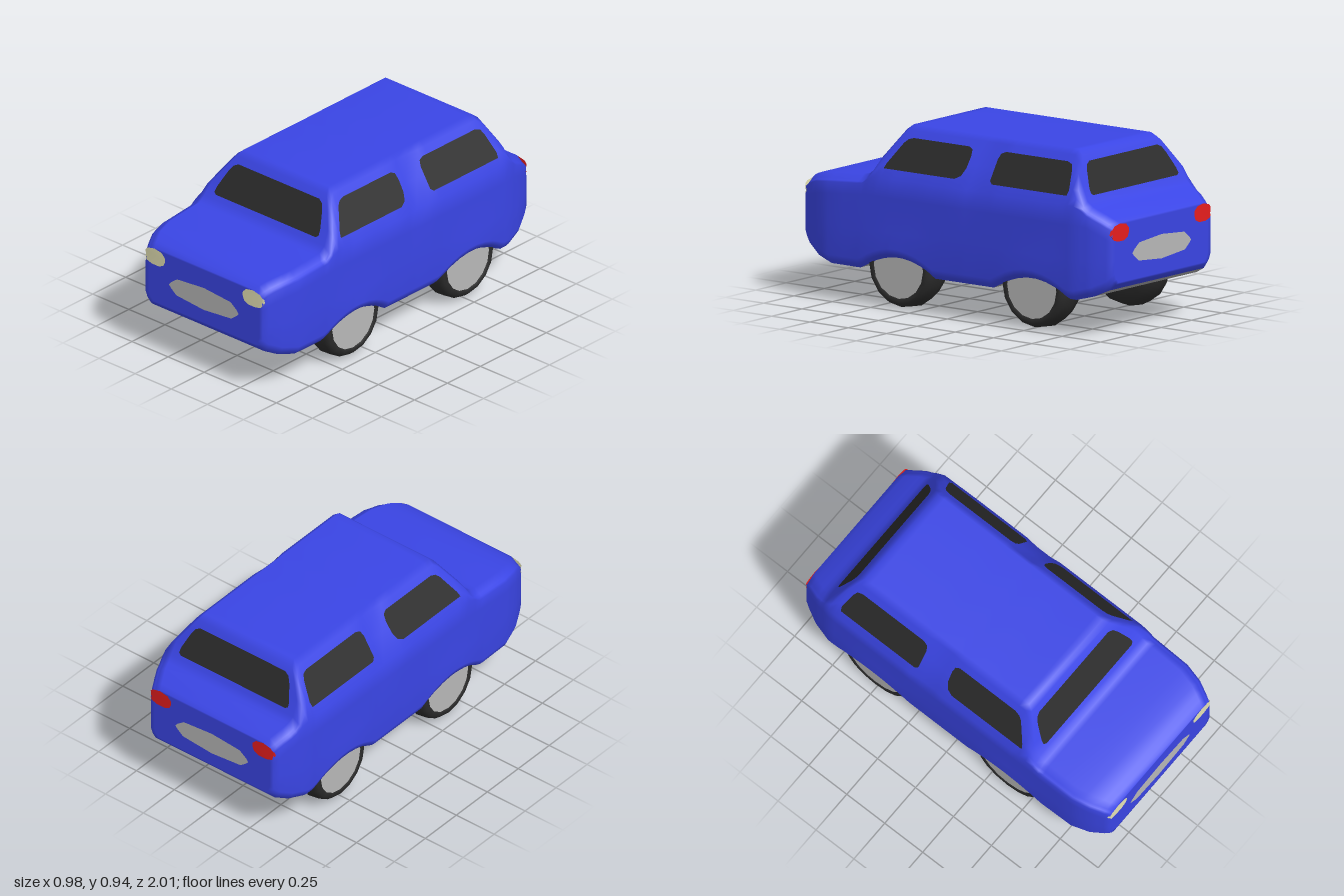
import * as THREE from 'three';

const mat = (name, color, side = THREE.FrontSide) =>
  new THREE.MeshStandardMaterial({ name, color, side });

// Piecewise linear lookup in [position, value] pairs with descending positions
function lookup(table, z) {
  for (let i = 1; i < table.length; i++) {
    const [z0, v0] = table[i - 1], [z1, v1] = table[i];
    if (z >= z1) return v0 + (v1 - v0) * (z0 - z) / (z0 - z1);
  }
  return table[table.length - 1][1];
}

const AXLES = [0.36, -0.51];
const TOP = [[1, 0.6], [0.96, 0.625], [0.9, 0.645], [0.8, 0.658], [0.58, 0.675], [0.545, 0.7],
  [0.41, 0.915], [0.38, 0.94], [-0.7, 0.94], [-0.7325, 0.915], [-0.84, 0.7], [-0.87, 0.675], [-0.92, 0.65], [-1, 0.6]];
const BOTTOM = [[1, 0.28], [0.97, 0.25], [0.9, 0.216], [0.8, 0.189], [-0.8, 0.189], [-0.9, 0.216], [-0.97, 0.25], [-1, 0.28]];
const WIDTH = [[1, 0.405], [0.97, 0.42], [0.9, 0.452], [0.8, 0.475], [0.6, 0.478], [-0.6, 0.478],
  [-0.8, 0.475], [-0.9, 0.452], [-0.97, 0.42], [-1, 0.405]];
const STATIONS = [1, 0.97, 0.94, 0.9, 0.85, 0.8, 0.7, 0.61, 0.58, 0.545, 0.5, 0.455, 0.41, 0.38, 0.34, 0.28, 0.22,
  0.17, 0.12, 0.05, -0.04, -0.1, -0.19, -0.26, -0.31, -0.36, -0.42, -0.48, -0.54, -0.6, -0.66, -0.7, -0.7325, -0.76,
  -0.8, -0.84, -0.87, -0.9, -0.94, -0.97, -1];

// Half width of the sloping cabin side at a height
const cabinSide = y => 0.45 - (y - 0.72) * 0.625;

// Closed cross-section of the body, from bottom left round over the roof
function section(z) {
  const arch = Math.max(...AXLES.map(c => 1 - ((z - c) / 0.24) ** 2), 0);
  const t = lookup(TOP, z), w = lookup(WIDTH, z), b = lookup(BOTTOM, z) + 0.08 * arch;
  const pinch = Math.abs(z + 0.145) < 0.06 ? 0.015 : 0;
  const yi = t - 0.025, xi = Math.min(w - 0.03, cabinSide(yi));
  const yg = Math.min(0.68, t - 0.04), xg = w - 0.003;
  const half = [
    [w - 0.032, b],
    [w - 0.012 + 0.012 * arch, b + 0.02],
    [w + 0.011 * arch, b + 0.05],
    [w, 0.4],
    [w, Math.min(0.58, t - 0.1)],
    [xg - pinch / 2, yg],
    [(xg + xi) / 2 - pinch, (yg + yi) / 2],
    [xi - pinch / 2, yi],
    [xi - 0.033, t]
  ];
  return [...half, ...half.slice().reverse().map(([x, y]) => [-x, y])];
}

// Skin over all cross-sections, limited to the bands accepted by keep
function loft(keep) {
  const rings = STATIONS.map(z => section(z).map(([x, y]) => [x, y, z]));
  const inset = (ring, s) => ring.map(([x, y, z]) => [x * s, 0.43 + (y - 0.43) * s, z]);
  const first = rings[0], last = rings[rings.length - 1];
  rings.unshift(inset(first, 0), inset(first, 0.94));
  rings.push(inset(last, 0.94), inset(last, 0));
  const n = first.length, index = [];
  for (let i = 0; i < rings.length - 1; i++) {
    const z = (rings[i][0][2] + rings[i + 1][0][2]) / 2;
    for (let j = 0; j < n; j++) {
      if (!keep(j === n - 1, z)) continue;
      const a = i * n + j, b = i * n + (j + 1) % n, c = b + n, d = a + n;
      index.push(a, d, c, a, c, b);
    }
  }
  const g = new THREE.BufferGeometry();
  g.setAttribute('position', new THREE.Float32BufferAttribute(rings.flat(2), 3));
  g.setIndex(index);
  g.computeVertexNormals();
  return g;
}

// Thin plate: a flat outline carried onto the body by a mapping rule
function plate(name, points, material, map) {
  const g = new THREE.ShapeGeometry(new THREE.Shape(points.map(p => new THREE.Vector2(...p))));
  const pos = g.attributes.position;
  for (let i = 0; i < pos.count; i++) pos.setXYZ(i, ...map(pos.getX(i), pos.getY(i)));
  g.computeVertexNormals();
  const mesh = new THREE.Mesh(g, material);
  mesh.name = name;
  return mesh;
}

const mirrored = half => [...half, ...half.slice().reverse().filter(p => p[0] > 0).map(([x, y]) => [-x, y])];

export function createModel() {
  const car = new THREE.Group();
  car.name = 'car';
  const blue = mat('bluePaint', 0x3a45e5);
  const grey = mat('undersideGrey', 0xaaaaaa);
  const rubber = mat('tyreRubber', 0x2b2b2b);
  const silver = mat('silver', 0xb8b8b8, THREE.DoubleSide);
  const glass = mat('darkGlass', 0x2a2a2a, THREE.DoubleSide);
  const cream = mat('headlightCream', 0xe5e2b5, THREE.DoubleSide);
  const red = mat('tailLightRed', 0xe81e1e, THREE.DoubleSide);
  const add = (name, geometry, material, parent = car) => {
    const m = new THREE.Mesh(geometry, material);
    m.name = name;
    parent.add(m);
    return m;
  };

  // Shell and underside
  const isUnder = (floor, z) => floor && Math.abs(z) < 0.97;
  add('bodyShell', loft((f, z) => !isUnder(f, z)), blue);
  add('underside', loft(isUnder), grey);

  // Side windows
  const frontWindow = [[0.455, 0.725], [0.447, 0.75], [0.385, 0.855], [0.365, 0.873], [0.335, 0.882], [-0.03, 0.882],
    [-0.053, 0.87], [-0.06, 0.84], [-0.057, 0.78], [-0.04, 0.742], [-0.005, 0.725]];
  const rearWindow = [[-0.25, 0.725], [-0.232, 0.74], [-0.232, 0.845], [-0.242, 0.872], [-0.27, 0.882], [-0.67, 0.882],
    [-0.7, 0.872], [-0.715, 0.845], [-0.742, 0.75], [-0.737, 0.725]];
  for (const s of [1, -1]) {
    const side = s > 0 ? 'left' : 'right';
    const map = (z, y) => [s * (cabinSide(y) + 0.003), y, z];
    car.add(plate(side + 'FrontWindow', frontWindow, glass, map));
    car.add(plate(side + 'RearWindow', rearWindow, glass, map));
  }

  // Windscreen and rear screen
  const screen = mirrored([[0.345, 0.724], [0.36, 0.734], [0.357, 0.76], [0.325, 0.84], [0.307, 0.87], [0.28, 0.884]]);
  car.add(plate('windscreen', screen, glass, (x, y) => [x, y, 0.549 - (y - 0.7) * 0.628]));
  car.add(plate('rearScreen', screen, glass, (x, y) => [x, y, -0.844 + (y - 0.7) * 0.5]));

  // Grilles and lamps at both ends, the lamps wrapping round the corners
  const grille = mirrored([[0, 0.363], [0.19, 0.38], [0.228, 0.41], [0.241, 0.425], [0.228, 0.442], [0.185, 0.474], [0, 0.49]]);
  const lamp = [[-0.072, -0.005], [-0.06, -0.032], [-0.03, -0.046], [0.02, -0.046], [0.056, -0.035], [0.064, -0.022],
    [0.072, -0.008], [0.07, 0.012], [0.064, 0.022], [0.048, 0.037], [0, 0.047], [-0.048, 0.038], [-0.07, 0.015]];
  for (const e of [1, -1]) {
    car.add(plate(e > 0 ? 'frontGrille' : 'rearPlate', grille, silver, (x, y) => [x, y, e * 1.003]));
    for (const s of [1, -1]) {
      const name = (s > 0 ? 'left' : 'right') + (e > 0 ? 'Headlight' : 'TailLight');
      car.add(plate(name, lamp, e > 0 ? cream : red, (x, y) =>
        [s * (0.34 + x), 0.55 + y, e * (1.003 - 2 * Math.max(0, x - 0.065))]));
    }
  }

  // Wheels: tyre turned about the axle, with a hub disc outside
  const tyre = new THREE.LatheGeometry([[0, 0.26], [0.11, 0.26], [0.188, 0.283], [0.215, 0.36], [0.207, 0.425],
    [0.188, 0.45], [0.162, 0.45], [0.162, 0.438]].map(p => new THREE.Vector2(...p)), 16);
  const hub = new THREE.CircleGeometry(0.163, 16).rotateX(-Math.PI / 2).translate(0, 0.446, 0);
  for (const z of AXLES) for (const s of [1, -1]) {
    const wheel = new THREE.Group();
    wheel.name = (s > 0 ? 'left' : 'right') + (z > 0 ? 'FrontWheel' : 'RearWheel');
    add('tyre', tyre, rubber, wheel);
    add('hub', hub, silver, wheel);
    wheel.rotation.z = -s * Math.PI / 2;
    wheel.position.set(0, 0.217, z);
    car.add(wheel);
  }
  return car;
}
